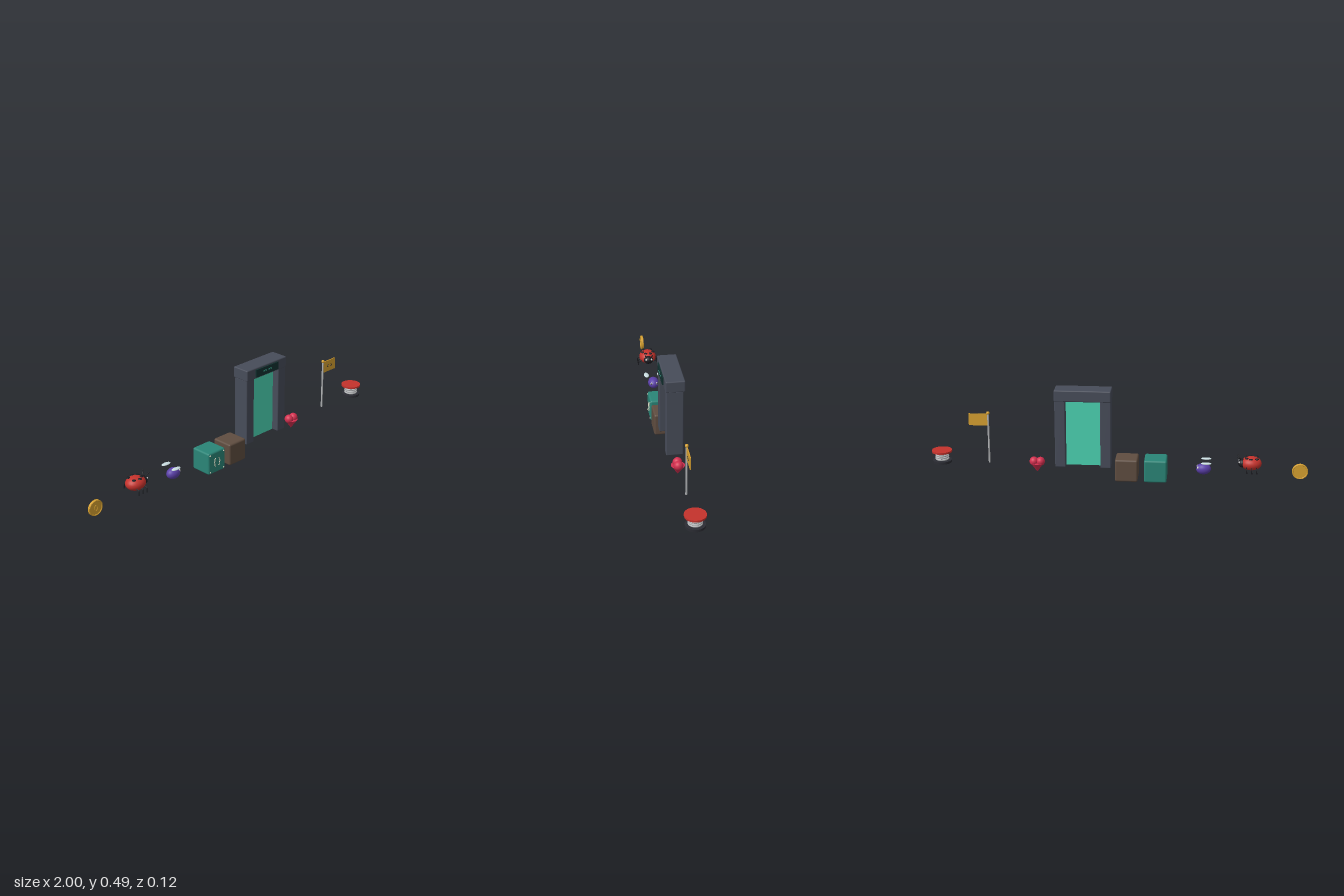
import * as THREE from 'three';
import { RoundedBoxGeometry } from 'three/addons/geometries/RoundedBoxGeometry.js';

const mat = (color) => new THREE.MeshStandardMaterial({ color });
const M = {
  gold: mat(0xd6a030), red: mat(0xc4322c), black: mat(0x1b1b20), white: mat(0xf2f2f2),
  purple: mat(0x5a3fa8), wing: mat(0xc9dce0), teal: mat(0x2a8577), cream: mat(0xd8d3bd),
  brown: mat(0x5f4d40), slate: mat(0x474c59), portal: mat(0x4bd3b2), sign: mat(0x12302f),
  pink: mat(0xd32f4f), steel: mat(0xb4b6b8), dark: mat(0x2b2c33),
};

export function createModel() {
  const root = new THREE.Group();

  const group = (name, x, y) => {
    const g = new THREE.Group();
    g.name = name;
    g.position.set(x, y, 0);
    root.add(g);
    return g;
  };
  const add = (g, name, geo, m, x = 0, y = 0, z = 0) => {
    const mesh = new THREE.Mesh(geo, m);
    mesh.name = name;
    mesh.position.set(x, y, z);
    g.add(mesh);
    return mesh;
  };
  const box = (w, h, d) => new THREE.BoxGeometry(w, h, d);
  const rbox = (w, h, d, r) => new RoundedBoxGeometry(w, h, d, 3, r);
  const cyl = (r, h, n = 32) => new THREE.CylinderGeometry(r, r, h, n);
  const ball = (rx, ry = rx, rz = rx) => new THREE.SphereGeometry(1, 24, 16).scale(rx, ry, rz);
  const tube = (pts, r, n = 12) => new THREE.TubeGeometry(
    new THREE.CatmullRomCurve3(pts.map((p) => new THREE.Vector3(...p))), n, r, 6);

  // Coin with raised rims and a small raised bar
  const coin = group('coin', -0.958, 0.066);
  add(coin, 'coinDisc', cyl(0.042, 0.009).rotateX(Math.PI / 2), M.gold);
  for (const s of [-1, 1]) {
    add(coin, 'coinRim', new THREE.TorusGeometry(0.038, 0.003, 8, 36), M.gold, 0, 0, s * 0.0045);
  }
  add(coin, 'coinMark', new THREE.TorusGeometry(0.012, 0.002, 6, 20).scale(0.7, 1.2, 1), M.gold, 0, 0, 0.005);

  // Spotted beetle facing +x
  const beetle = group('beetle', -0.702, 0.105);
  add(beetle, 'shell', ball(0.055, 0.036, 0.048), M.red);
  add(beetle, 'head', ball(0.024, 0.023, 0.027), M.black, 0.046, 0, 0);
  for (const s of [-1, 1]) {
    for (const [x, z] of [[-0.028, 0.022], [0.004, 0.03], [0.025, 0.014]]) {
      add(beetle, 'spot', ball(0.01, 0.004, 0.01), M.black, x, 0.03, s * z);
    }
    for (const x of [-0.026, 0, 0.026]) {
      add(beetle, 'leg', tube([[x, -0.012, s * 0.036], [x, -0.018, s * 0.052], [x - 0.003, -0.041, s * 0.056]], 0.003), M.black);
    }
    add(beetle, 'eye', ball(0.006), M.white, 0.062, 0.008, s * 0.015);
    add(beetle, 'antenna', tube([[0.052, 0.015, s * 0.009], [0.061, 0.028, s * 0.014], [0.069, 0.037, s * 0.02]], 0.002), M.black);
    add(beetle, 'antennaTip', ball(0.004), M.black, 0.069, 0.037, s * 0.02);
  }

  // Winged bug facing +x
  const bug = group('wingedBug', -0.452, 0.066);
  add(bug, 'body', ball(0.04, 0.03, 0.03), M.purple);
  for (const s of [-1, 1]) {
    add(bug, 'wing', ball(0.028, 0.005, 0.014), M.wing, -0.014, 0.043, s * 0.038);
    add(bug, 'eye', ball(0.007), M.white, 0.029, 0.009, s * 0.014);
    add(bug, 'pupil', ball(0.0035), M.black, 0.0345, 0.01, s * 0.016);
  }

  // Teal crate: curved trim and corner studs on the front
  const teal = group('tealCrate', -0.2, 0.061);
  add(teal, 'crateBody', rbox(0.12, 0.122, 0.12, 0.01), M.teal);
  for (const s of [-1, 1]) {
    add(teal, 'curvedTrim', tube([[0.01, 0.024, 0.061], [0.015, 0.019, 0.061], [0.016, 0.006, 0.061],
      [0.022, 0, 0.061], [0.016, -0.006, 0.061], [0.015, -0.019, 0.061], [0.01, -0.024, 0.061]]
      .map(([x, y, z]) => [s * x, y, z]), 0.0025, 24), M.cream);
    for (const t of [-1, 1]) add(teal, 'stud', ball(0.004), M.cream, s * 0.048, t * 0.048, 0.06);
  }

  // Plain brown crate
  const brown = group('brownCrate', -0.047, 0.061);
  add(brown, 'crateBody', rbox(0.12, 0.122, 0.12, 0.01), M.brown);

  // Gateway with a glowing panel
  const gate = group('gateway', 0.183, 0);
  for (const s of [-1, 1]) add(gate, 'pillar', rbox(0.056, 0.37, 0.088, 0.005), M.slate, s * 0.12, 0.253, 0);
  add(gate, 'lintel', rbox(0.298, 0.061, 0.1, 0.006), M.slate, 0, 0.4635, -0.002);
  add(gate, 'panel', box(0.188, 0.365, 0.01), M.portal, 0, 0.2525, 0);
  add(gate, 'signPlate', box(0.166, 0.042, 0.008), M.sign, -0.003, 0.464, 0.051);
  for (const x of [-0.03, -0.014, 0.008, 0.024]) {
    add(gate, 'signLight', box(0.01, 0.005, 0.002), M.portal, x, 0.465, 0.055);
  }

  // Heart from two spheres and a cone
  const heart = group('heart', 0.433, 0);
  for (const s of [-1, 1]) add(heart, 'lobe', ball(0.0235, 0.0245, 0.0245), M.pink, s * 0.0175, 0.081, 0);
  add(heart, 'point', new THREE.ConeGeometry(0.036, 0.052, 32).rotateX(Math.PI), M.pink, 0, 0.048, 0);

  // Flag on a pole
  const flag = group('flag', 0.69, 0);
  add(flag, 'pole', cyl(0.005, 0.275, 16), M.steel, 0, 0.2055, 0);
  add(flag, 'finial', ball(0.009), M.gold, 0, 0.345, 0);
  add(flag, 'cloth', box(0.1, 0.065, 0.005), M.gold, 0.054, 0.308, -0.001);
  for (const s of [-1, 1]) {
    for (const t of [-1, 1]) {
      add(flag, 'chevron', box(0.014, 0.003, 0.002).rotateZ(-s * t * 0.6), M.dark, 0.054 + s * 0.014, 0.308 + t * 0.004, 0.0022);
    }
  }

  // Spring pad
  const pad = group('springPad', 0.946, 0);
  add(pad, 'base', cyl(0.05, 0.013), M.dark, 0, 0.0695, 0);
  for (let i = 0; i < 4; i++) {
    add(pad, 'coil', new THREE.TorusGeometry(0.032, 0.005, 10, 36).rotateX(Math.PI / 2), M.steel, 0, 0.083 + i * 0.0108, 0);
  }
  add(pad, 'top', cyl(0.054, 0.01), M.red, 0, 0.126, 0);

  return root;
}
